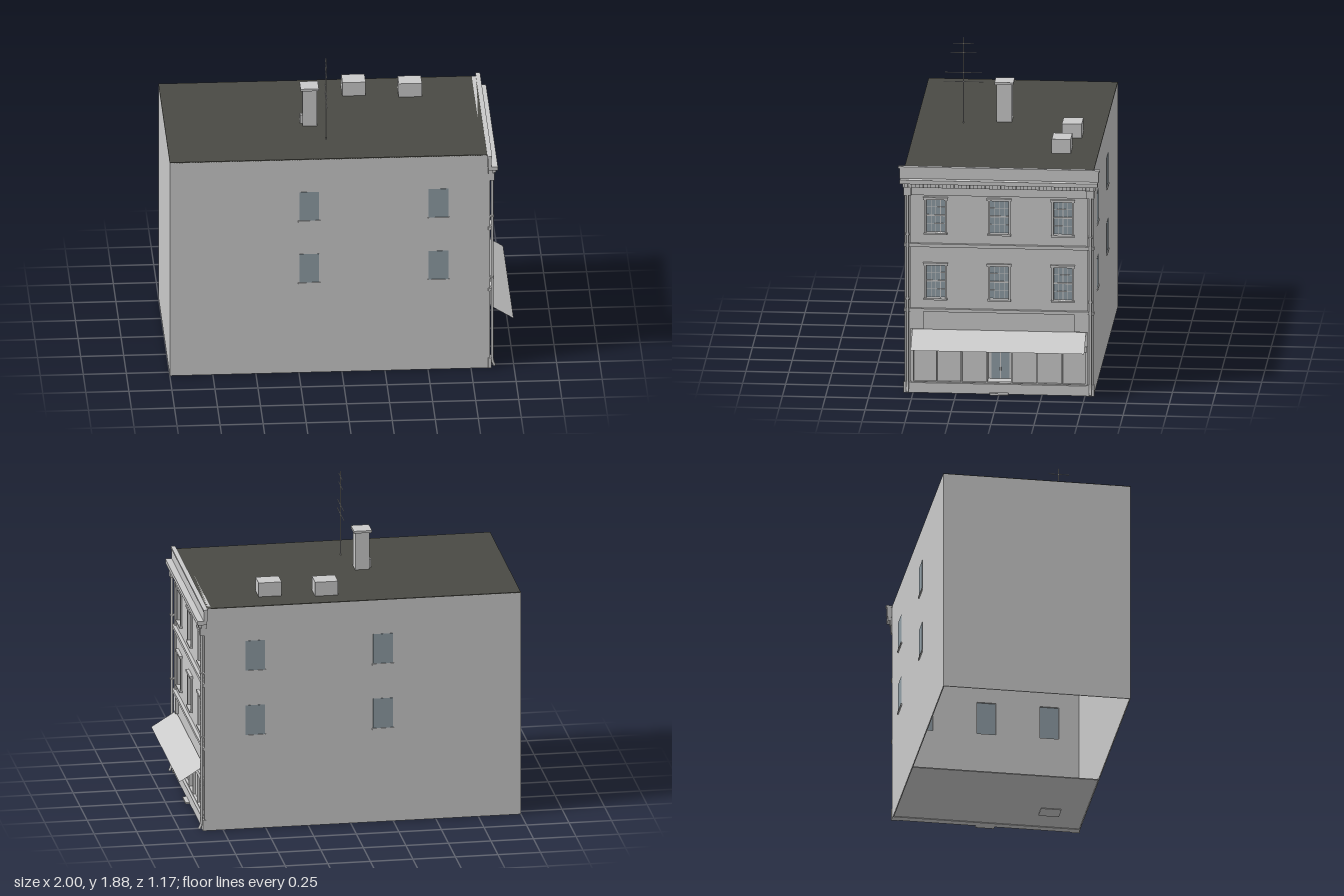
import * as THREE from 'three';

const wall = new THREE.MeshStandardMaterial({ name: 'light grey masonry', color: 0xcacaca });
const roofMat = new THREE.MeshStandardMaterial({ name: 'dark roof felt', color: 0x4a4a44 });
const glass = new THREE.MeshStandardMaterial({ name: 'blue grey glass', color: 0x8f9da5 });
const sheet = new THREE.MeshStandardMaterial({ name: 'light grey sheet', color: 0xcacaca, side: THREE.DoubleSide });

const H = 1.36, Z = 0.55, FX = 0.85; // roof height, half width, facade plane

function add(parent, name, geo, mat = wall) {
  const m = new THREE.Mesh(geo, mat);
  m.name = name;
  parent.add(m);
  return m;
}

// Box given by its limits on each axis
function box(parent, name, [x0, x1], [y0, y1], [z0, z1], mat = wall) {
  const g = new THREE.BoxGeometry(x1 - x0, y1 - y0, z1 - z0);
  g.translate((x0 + x1) / 2, (y0 + y1) / 2, (z0 + z1) / 2);
  return add(parent, name, g, mat);
}

function group(parent, name) {
  const g = new THREE.Group();
  g.name = name;
  parent.add(g);
  return g;
}

function rectPath(u0, u1, v0, v1, Type = THREE.Path) {
  return new Type([[u0, v0], [u1, v0], [u1, v1], [u0, v1]].map(p => new THREE.Vector2(...p)));
}

// Sash window of the facade: glass, glazing bars, frame, lintel and sill
function sashWindow(parent, z, y0, y1) {
  const w = group(parent, 'sashWindow');
  const a = 0.055, mid = (y0 + y1) / 2, h = y1 - y0;
  box(w, 'windowGlass', [FX - 0.02, FX - 0.015], [y0, y1], [z - a, z + a], glass);
  for (const k of [-0.5, 0, 0.5])
    box(w, 'verticalBar', [FX - 0.015, FX - 0.011], [y0, y1], [z + k * a - 0.0015, z + k * a + 0.0015]);
  for (const k of [0.25, 0.75])
    box(w, 'horizontalBar', [FX - 0.015, FX - 0.011], [y0 + k * h - 0.0015, y0 + k * h + 0.0015], [z - a, z + a]);
  box(w, 'meetingRail', [FX - 0.015, FX - 0.007], [mid - 0.004, mid + 0.004], [z - a, z + a]);
  for (const s of [-1, 1])
    box(w, 'jamb', [FX - 0.02, FX + 0.01], [y0, y1], [z + s * 0.06 - 0.006, z + s * 0.06 + 0.006]);
  box(w, 'lintel', [FX - 0.02, FX + 0.018], [y1, y1 + 0.014], [z - 0.072, z + 0.072]);
  box(w, 'sill', [FX - 0.02, FX + 0.018], [y0 - 0.01, y0], [z - 0.068, z + 0.068]);
}

// Box shell, open underneath behind the shop floor
function buildBody(root) {
  const b = group(root, 'body');
  for (const s of [-1, 1]) {
    box(b, 'sideWall', [-1, FX], [0, H - 0.004], s > 0 ? [Z - 0.006, Z] : [-Z, -Z + 0.006]);
    for (const x of [-0.19, 0.562]) for (const y of [0.575, 0.97]) {
      const zr = (d0, d1) => (s > 0 ? [Z + d0, Z + d1] : [-Z - d1, -Z - d0]);
      box(b, 'sideWindow', [x - 0.058, x + 0.058], [y, y + 0.18], zr(-0.003, 0.002), glass);
      box(b, 'sideSill', [x - 0.064, x + 0.064], [y - 0.01, y], zr(0, 0.007));
    }
  }
  box(b, 'backWall', [-1, -0.994], [0, H - 0.004], [-Z, Z]);
  box(b, 'roof', [-1, FX], [H - 0.006, H], [-Z, Z], roofMat);
  box(b, 'shopFloor', [0.14, FX], [0.004, 0.01], [-Z, Z]);
  box(b, 'floorHatch', [0.57, 0.67], [0, 0.004], [0.28, 0.4]);
}

function buildFacade(root) {
  const f = group(root, 'facade');
  const shape = rectPath(-Z, Z, 0, H, THREE.Shape);
  const rows = [[0.57, 0.77], [0.965, 1.165]], cols = [-0.37, 0, 0.37];
  for (const [y0, y1] of rows) for (const z of cols) {
    shape.holes.push(rectPath(z - 0.055, z + 0.055, y0, y1));
    sashWindow(f, z, y0, y1);
  }
  shape.holes.push(rectPath(-0.505, 0.505, 0.065, 0.262));
  const g = new THREE.ExtrudeGeometry(shape, { depth: 0.03, bevelEnabled: false });
  g.rotateY(Math.PI / 2).translate(FX - 0.03, 0, 0);
  add(f, 'frontWall', g);

  // raised borders and string courses
  for (const s of [-1, 1]) {
    box(f, 'cornerStrip', [FX, FX + 0.009], [0.06, 1.24], s > 0 ? [0.515, Z] : [-Z, -0.515]);
    box(f, 'signEnd', [FX, FX + 0.017], [0.385, 0.49], s > 0 ? [0.44, 0.515] : [-0.515, -0.44]);
  }
  box(f, 'upperBorder', [FX, FX + 0.009], [1.19, 1.25], [-Z, Z]);
  box(f, 'upperCourse', [FX, FX + 0.02], [0.88, 0.9], [-0.553, 0.553]);
  box(f, 'lowerCourse', [FX, FX + 0.02], [0.49, 0.508], [-0.553, 0.553]);
  box(f, 'plinth', [FX, FX + 0.015], [0, 0.06], [-Z, Z]);

  // cornice, dentils and parapet
  box(f, 'parapet', [FX - 0.004, FX + 0.018], [1.29, H], [-0.58, 0.58]);
  box(f, 'parapetCap', [FX - 0.006, FX + 0.021], [H - 0.008, H + 0.003], [-0.586, 0.586]);
  box(f, 'corniceLedge', [FX, 0.905], [1.268, 1.292], [-0.575, 0.575]);
  box(f, 'corniceBed', [FX, 0.878], [1.24, 1.268], [-0.56, 0.56]);
  for (let i = 0; i < 25; i++) {
    const z = -0.54 + i * 0.045;
    box(f, 'dentil', [0.878, 0.895], [1.245, 1.268], [z - 0.011, z + 0.011]);
  }
}

function buildShop(root) {
  const s = group(root, 'shopFront');
  const inner = 0.75;
  for (const d of [-1, 1]) {
    const zr = (a, b) => (d > 0 ? [a, b] : [-b, -a]);
    box(s, 'displayPanel', [FX - 0.025, FX - 0.015], [0.065, 0.262], zr(0.07, 0.505));
    for (const z of [0.073, 0.22, 0.365, 0.502])
      box(s, 'mullion', [FX - 0.015, FX], [0.065, 0.262], zr(z - 0.004, z + 0.004));
    box(s, 'recessSide', [inner, FX - 0.015], [0.05, 0.262], zr(0.07, 0.076));
  }
  box(s, 'recessFloor', [inner, FX], [0.05, 0.062], [-0.076, 0.076]);
  box(s, 'recessCeiling', [inner, FX - 0.015], [0.262, 0.268], [-0.076, 0.076]);
  box(s, 'doorFrame', [inner - 0.01, inner], [0.05, 0.268], [-0.076, 0.076]);
  box(s, 'doorGlass', [inner, inner + 0.006], [0.064, 0.25], [-0.053, 0.053], glass);
  box(s, 'doorMeetingStile', [inner + 0.006, inner + 0.009], [0.064, 0.25], [-0.002, 0.002]);
  box(s, 'doorHandle', [inner + 0.009, inner + 0.016], [0.115, 0.135], [-0.005, 0.005]);
  box(s, 'doorStep', [FX, FX + 0.04], [0, 0.01], [-0.055, 0.055]);
  box(s, 'fascia', [FX, FX + 0.012], [0.262, 0.295], [-0.51, 0.51]);
  // sloping awning sheet
  const slope = new THREE.PlaneGeometry(Math.hypot(0.145, 0.09), 1.01);
  slope.rotateX(-Math.PI / 2).rotateZ(-Math.atan2(0.09, 0.145)).translate(0.9275, 0.336, 0);
  add(s, 'awning', slope, sheet);
}

// Rain pipes at both facade corners
function buildPipes(root) {
  for (const s of [-1, 1]) {
    const p = group(root, 'rainPipe'), z = s * 0.532;
    const pts = [[0.874, 1.22], [0.874, 0.65], [0.874, 0.06], [0.876, 0.035], [0.888, 0.008]]
      .map(([x, y]) => new THREE.Vector3(x, y, z));
    const path = new THREE.CurvePath();
    for (let i = 1; i < pts.length; i++) path.add(new THREE.LineCurve3(pts[i - 1], pts[i]));
    add(p, 'downPipe', new THREE.TubeGeometry(path, 48, 0.008, 8), sheet);
    box(p, 'pipeHopper', [0.855, 0.886], [1.195, 1.242], [z - 0.022, z + 0.022]);
    for (const y of [0.57, 0.96])
      box(p, 'pipeBracket', [FX, 0.884], [y - 0.004, y + 0.004], [z - 0.014, z + 0.014]);
    box(p, 'pipeFoot', [FX, 0.87], [0, 0.065], [z - 0.022, z + 0.022]);
  }
}

function buildRoofItems(root) {
  const r = group(root, 'roofItems');
  box(r, 'chimney', [-0.2, -0.117], [H, 1.586], [0, 0.09]);
  box(r, 'chimneyCap', [-0.213, -0.107], [1.586, 1.6], [-0.01, 0.1]);
  box(r, 'chimneyHatch', [-0.214, -0.2], [H, 1.415], [0.025, 0.055]);
  box(r, 'roofVent', [0.055, 0.19], [H, 1.445], [-0.43, -0.315]);
  box(r, 'roofVent', [0.38, 0.515], [H, 1.445], [-0.39, -0.28]);

  const a = group(r, 'aerial');
  a.position.set(-0.077, 0, 0.278);
  add(a, 'mast', new THREE.CylinderGeometry(0.003, 0.003, 0.515, 6).translate(0, H + 0.2575, 0));
  for (const [y, half] of [[1.61, 0.117], [1.665, 0.107], [1.785, 0.075], [1.84, 0.06]])
    add(a, 'aerialBar', new THREE.CylinderGeometry(0.0022, 0.0022, half * 2, 6).rotateX(Math.PI / 2).translate(0, y, 0));
}

export function createModel() {
  const root = new THREE.Group();
  root.name = 'shopBuilding';
  buildBody(root);
  buildFacade(root);
  buildShop(root);
  buildPipes(root);
  buildRoofItems(root);
  return root;
}
